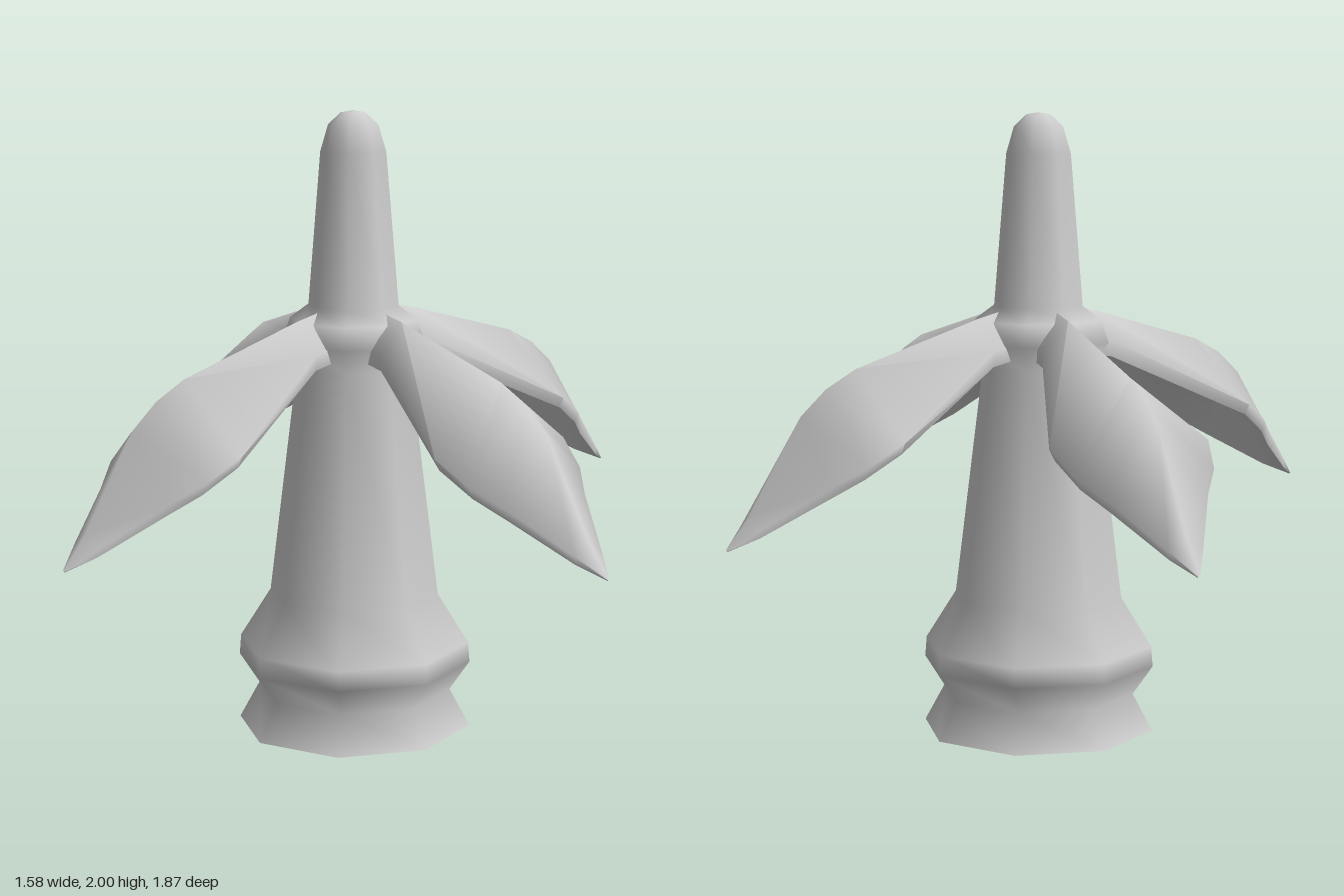
import * as THREE from 'three';
import { toCreasedNormals } from 'three/addons/utils/BufferGeometryUtils.js';

const material = new THREE.MeshStandardMaterial({ color: 0xcccccc });

// Cross-sections along a petal: [distance out, half width, ridge height, edge height, thickness]
const PETAL = [
  [0.12, 0.08, 1.38, 1.28, 0.05],
  [0.24, 0.09, 1.355, 1.26, 0.05],
  [0.70, 0.26, 1.23, 1.03, 0.035],
  [0.81, 0.225, 1.175, 0.96, 0.035],
  [0.90, 0.16, 1.10, 0.90, 0.035],
  [1.08, 0.055, 0.82, 0.78, 0.025],
  [1.165, 0.003, 0.722, 0.72, 0.004],
];

// Thin folded leaf: a ridged top skin, a narrow rim and a hollow underside
function petalGeometry() {
  const positions = [];
  const index = [];
  for (const [r, w, ridge, edge, t] of PETAL) {
    const inner = w * 0.93;
    positions.push(
      r, edge, -w, r, ridge, 0, r, edge, w,
      r, edge - t, inner, r, ridge - t, 0, r, edge - t, -inner,
    );
  }
  const n = 6;
  for (let i = 0; i < PETAL.length - 1; i++) {
    for (let j = 0; j < n; j++) {
      const a = i * n + j;
      const b = i * n + (j + 1) % n;
      index.push(a, b, b + n, a, b + n, a + n);
    }
  }
  const geometry = new THREE.BufferGeometry();
  geometry.setAttribute('position', new THREE.Float32BufferAttribute(positions, 3));
  geometry.setIndex(index);
  return toCreasedNormals(geometry, 1.45);
}

export function createModel() {
  const model = new THREE.Group();
  model.name = 'petalledPillar';
  model.position.set(-0.072, 0, 0.033);

  function add(name, geometry) {
    const mesh = new THREE.Mesh(geometry, material);
    mesh.name = name;
    model.add(mesh);
    return mesh;
  }

  // Eight-sided pillar: flared foot, bulge, tapering shaft, collar and rounded spike
  const profile = [
    [0.38, 0], [0.315, 0.12], [0.38, 0.215], [0.375, 0.28], [0.275, 0.44],
    [0.182, 1.19], [0.23, 1.27], [0.205, 1.34], [0.145, 1.385],
    [0.105, 1.87], [0.08, 1.955], [0.04, 1.993], [0, 2],
  ].map(([r, y]) => new THREE.Vector2(r, y));
  add('pillar', new THREE.LatheGeometry(profile, 8));

  // Closed underside of the foot
  add('base', new THREE.CircleGeometry(0.38, 8).rotateX(Math.PI / 2));

  // Four drooping petals, slightly uneven around the collar
  const leaf = petalGeometry();
  const angles = { frontLeftPetal: 43.5, frontRightPetal: 129, backRightPetal: -124, backLeftPetal: -48.7 };
  for (const [name, degrees] of Object.entries(angles)) {
    add(name, leaf).rotation.y = -THREE.MathUtils.degToRad(degrees);
  }

  const group = new THREE.Group();
  group.add(model);
  return group;
}
